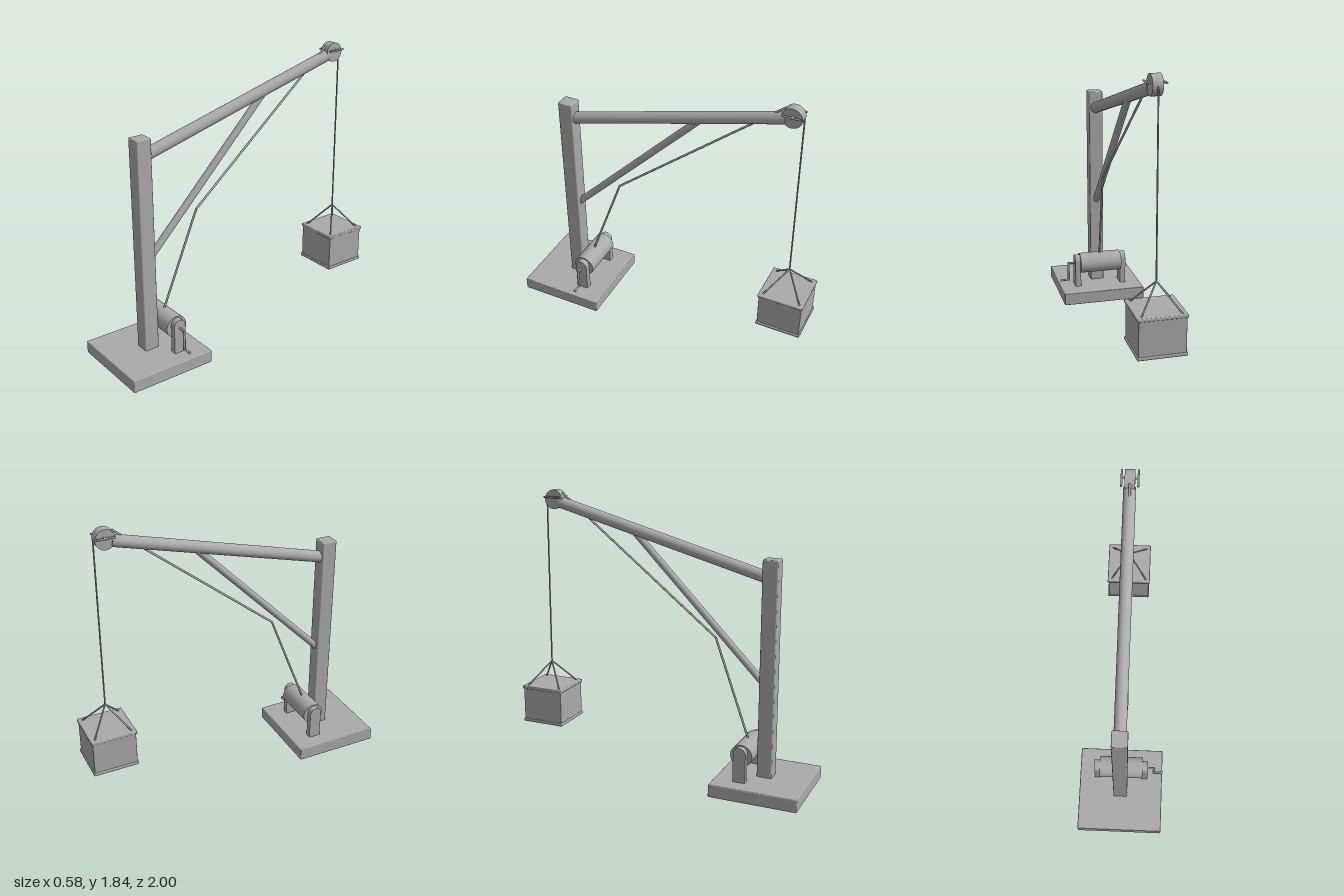
import * as THREE from 'three';
import { RoundedBoxGeometry } from 'three/addons/geometries/RoundedBoxGeometry.js';

const V = (x, y, z) => new THREE.Vector3(x, y, z);

export function createModel() {
  const model = new THREE.Group();
  model.name = 'boomCrane';
  const grey = new THREE.MeshStandardMaterial({ color: 0xaaaaaa });
  grey.name = 'plainGrey';

  const add = (name, geometry, parent = model) => {
    const mesh = new THREE.Mesh(geometry, grey);
    mesh.name = name;
    parent.add(mesh);
    return mesh;
  };
  const box = (name, size, pos, bevel, parent) => {
    const mesh = add(name, new RoundedBoxGeometry(...size, 2, bevel), parent);
    mesh.position.set(...pos);
    return mesh;
  };
  // Round bar running between two points
  const rod = (name, a, b, radius, parent, sides = 12) => {
    const mesh = add(name, new THREE.CylinderGeometry(radius, radius, a.distanceTo(b), sides), parent);
    mesh.position.copy(a).add(b).multiplyScalar(0.5);
    mesh.quaternion.setFromUnitVectors(V(0, 1, 0), b.clone().sub(a).normalize());
    return mesh;
  };

  // Base, post and timber arms
  box('base', [0.58, 0.085, 0.575], [0, 0.0425, 0.7125], 0.006);
  box('post', [0.096, 1.405, 0.1], [0, 0.7825, 0.714], 0.008);
  rod('boom', V(0, 1.365, 0.7), V(0, 1.757, -0.74), 0.038, model, 32);
  rod('brace', V(0, 0.675, 0.7), V(0, 1.595, -0.205), 0.023, model, 24);

  // Pulley at the boom tip with its axle and side pins
  const pulley = new THREE.Group();
  pulley.name = 'pulley';
  model.add(pulley);
  rod('wheel', V(-0.031, 1.777, -0.78), V(0.031, 1.777, -0.78), 0.063, pulley, 32);
  rod('axle', V(-0.052, 1.79, -0.785), V(0.052, 1.79, -0.785), 0.008, pulley);
  for (const s of [-1, 1]) {
    rod('sidePin', V(s * 0.05, 1.793, -0.725), V(s * 0.05, 1.793, -0.84), 0.006, pulley);
  }

  // Winch: drum between two round-topped cheeks
  const winch = new THREE.Group();
  winch.name = 'winch';
  model.add(winch);
  const axisY = 0.25, axisZ = 0.592;
  rod('drum', V(-0.148, axisY, axisZ), V(0.148, axisY, axisZ), 0.072, winch, 40);
  const cheek = new THREE.Shape();
  cheek.moveTo(-0.041, 0.08);
  cheek.lineTo(0.041, 0.08);
  cheek.lineTo(0.041, 0.273);
  cheek.absarc(0, 0.273, 0.041, 0, Math.PI, false);
  cheek.closePath();
  for (const s of [-1, 1]) {
    const g = new THREE.ExtrudeGeometry(cheek, { depth: 0.04, bevelEnabled: false, curveSegments: 16 });
    g.translate(0, 0, -0.02).rotateY(Math.PI / 2);
    add('cheek', g, winch).position.set(s * 0.165, 0, axisZ);
  }

  // Crank handle on the model's left side
  rod('crankShaft', V(0.18, 0.255, axisZ), V(0.235, 0.255, axisZ), 0.007, winch);
  rod('crankArm', V(0.229, 0.262, axisZ), V(0.229, 0.122, axisZ), 0.008, winch);
  rod('crankHandle', V(0.225, 0.128, axisZ), V(0.28, 0.128, axisZ), 0.007, winch);
  rod('crankKnob', V(0.276, 0.128, axisZ), V(0.29, 0.128, axisZ), 0.01, winch);

  // Rope from drum to pulley, then down to the load
  const rope = new THREE.Group();
  rope.name = 'rope';
  model.add(rope);
  const knee = V(0.03, 0.95, 0.345);
  rod('lowerRope', V(0, 0.3, 0.592), knee, 0.007, rope);
  rod('upperRope', knee, V(0, 1.82, -0.73), 0.007, rope);
  rod('hangingRope', V(0, 1.777, -0.845), V(0, 0.66, -0.85), 0.005, rope);

  // Crate with rims and four slings
  const crate = new THREE.Group();
  crate.name = 'crate';
  crate.position.z = -0.85;
  model.add(crate);
  box('crateBody', [0.288, 0.24, 0.288], [0, 0.377, 0], 0.004, crate);
  for (const y of [0.258, 0.494]) box('crateRim', [0.302, 0.02, 0.302], [0, y, 0], 0.006, crate);
  for (const x of [-0.123, 0.123]) {
    for (const z of [-0.123, 0.123]) rod('sling', V(0, 0.662, 0), V(x, 0.5, z), 0.005, crate);
  }
  return model;
}
